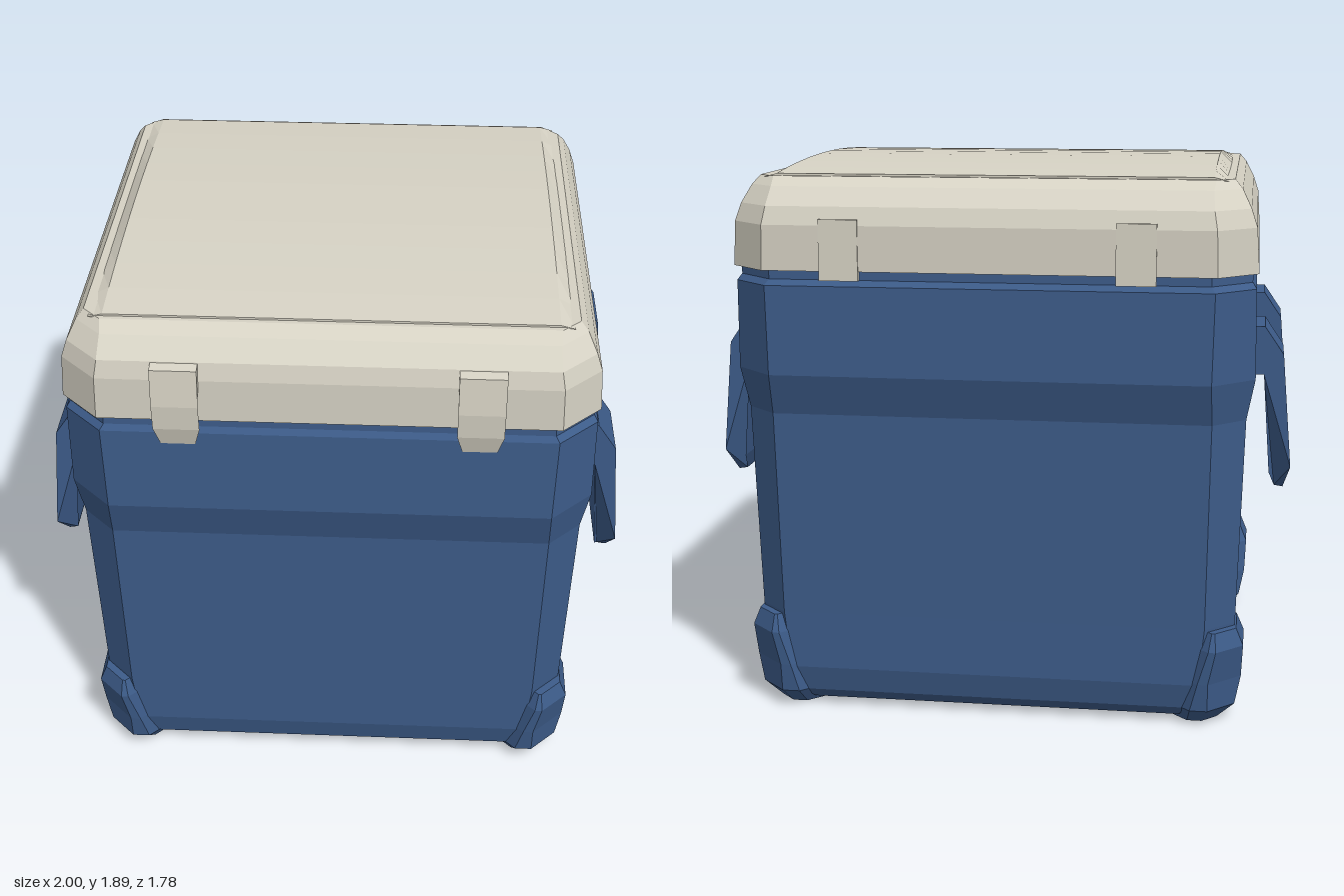
import * as THREE from 'three';

// Skin chamfered rectangles [y, x0, x1, z0, z1, chamfer] from bottom to top, with end caps
function loft(rings) {
  const loops = rings.map(([y, x0, x1, z0, z1, c]) => [
    [x0 + c, y, z1], [x1 - c, y, z1], [x1, y, z1 - c], [x1, y, z0 + c],
    [x1 - c, y, z0], [x0 + c, y, z0], [x0, y, z0 + c], [x0, y, z1 - c],
  ]);
  const pos = [];
  const tri = (a, b, c) => pos.push(...a, ...b, ...c);
  for (let k = 0; k < loops.length - 1; k++) {
    const a = loops[k], b = loops[k + 1];
    for (let i = 0; i < 8; i++) {
      const j = (i + 1) % 8;
      tri(a[i], a[j], b[j]);
      tri(a[i], b[j], b[i]);
    }
  }
  const bottom = loops[0], top = loops[loops.length - 1];
  for (let i = 1; i < 7; i++) {
    tri(bottom[0], bottom[i + 1], bottom[i]);
    tri(top[0], top[i], top[i + 1]);
  }
  const g = new THREE.BufferGeometry();
  g.setAttribute('position', new THREE.Float32BufferAttribute(pos, 3));
  g.computeVertexNormals();
  return g;
}

// Extrude a closed profile along z, centred on z = 0
function extrude(points, depth) {
  const shape = new THREE.Shape(points.map(([x, y]) => new THREE.Vector2(x, y)));
  return new THREE.ExtrudeGeometry(shape, { depth, bevelEnabled: false }).translate(0, 0, -depth / 2);
}

// Move every vertex by a rule and refresh the faceted normals
function reshape(source, rule) {
  const g = source.index ? source.toNonIndexed() : source;
  const p = g.attributes.position, v = new THREE.Vector3();
  for (let i = 0; i < p.count; i++) {
    rule(v.fromBufferAttribute(p, i));
    p.setXYZ(i, v.x, v.y, v.z);
  }
  g.computeVertexNormals();
  return g;
}

export function createModel() {
  const model = new THREE.Group();
  const blue = new THREE.MeshStandardMaterial({ color: 0x3d5c8a });
  blue.name = 'blue plastic';
  const cream = new THREE.MeshStandardMaterial({ color: 0xd6d2c4 });
  cream.name = 'cream plastic';
  const add = (name, geometry, material, parent = model) => {
    const mesh = new THREE.Mesh(geometry, material);
    mesh.name = name;
    parent.add(mesh);
    return mesh;
  };

  // Tapered tub with a wider band under the lid
  add('tub', loft([
    [0.02, -0.74, 0.74, -0.73, 0.70, 0.10],
    [0.06, -0.79, 0.79, -0.77, 0.74, 0.11],
    [0.15, -0.815, 0.815, -0.795, 0.765, 0.11],
    [0.35, -0.825, 0.825, -0.80, 0.775, 0.10],
    [1.06, -0.845, 0.845, -0.83, 0.81, 0.11],
    [1.20, -0.872, 0.872, -0.88, 0.855, 0.14],
    [1.50, -0.868, 0.868, -0.88, 0.852, 0.13],
    [1.52, -0.855, 0.855, -0.865, 0.84, 0.13],
    [1.58, -0.855, 0.855, -0.865, 0.84, 0.13],
  ]), blue);

  // Lid with rounded shoulders
  add('lid', loft([
    [1.55, -0.875, 0.875, -0.885, 0.852, 0.13],
    [1.70, -0.865, 0.865, -0.888, 0.852, 0.125],
    [1.76, -0.845, 0.845, -0.868, 0.838, 0.115],
    [1.82, -0.815, 0.815, -0.81, 0.78, 0.09],
    [1.85, -0.79, 0.79, -0.76, 0.735, 0.06],
  ]), cream);

  // Gently arched top panel, narrower at its crest
  add('lidCrown', reshape(new THREE.BoxGeometry(1.54, 0.02, 1.46, 1, 1, 10), (v) => {
    const top = v.y > 0;
    if (top) v.x *= 0.94;
    v.y = top ? 1.857 + 0.033 * (1 - (v.z / 0.73) ** 2) : 1.845;
    v.z -= 0.012;
  }), cream);

  // Four corner feet
  const footRings = [
    [0.00, 0.62, 0.77, 0.46, 0.72, 0.05],
    [0.06, 0.59, 0.83, 0.43, 0.785, 0.09],
    [0.16, 0.595, 0.85, 0.42, 0.80, 0.11],
    [0.28, 0.65, 0.855, 0.46, 0.812, 0.09],
    [0.34, 0.68, 0.83, 0.49, 0.79, 0.07],
  ];
  for (const sx of [1, -1]) {
    for (const sz of [1, -1]) {
      const rings = footRings.map(([y, a, b, c, d, e]) => [
        y, Math.min(sx * a, sx * b), Math.max(sx * a, sx * b),
        Math.min(sz * c, sz * d) - 0.012, Math.max(sz * c, sz * d) - 0.012, e,
      ]);
      add(`${sz > 0 ? 'front' : 'back'}${sx > 0 ? 'Left' : 'Right'}Foot`, loft(rings), blue);
    }
  }

  // Drop handles: two bent arms joined by a grip bar
  const arm = [[0.85, 1.18], [0.90, 1.18], [0.925, 0.84], [0.945, 0.775], [0.975, 0.77], [0.998, 0.86],
    [0.965, 1.25], [0.90, 1.345], [0.85, 1.345]];
  const bar = [[0.915, 0.98], [0.925, 0.84], [0.945, 0.775], [0.975, 0.77], [0.998, 0.86], [0.988, 0.98]];
  for (const side of [1, -1]) {
    const handle = new THREE.Group();
    handle.name = side > 0 ? 'leftHandle' : 'rightHandle';
    for (const s of [1, -1]) {
      const armGeometry = reshape(extrude(arm, 0.23), (v) => {
        // Cut the lower outer corner at a slant
        if (v.z * s > 0 && v.y < 0.8) v.z -= s * 0.085;
        v.z += s * 0.415;
      });
      add('handleArm', armGeometry, blue, handle);
    }
    add('handleGrip', extrude(bar, 0.62), blue, handle);
    handle.position.z = -0.012;
    if (side < 0) {
      handle.rotation.y = Math.PI;
    }
    model.add(handle);
  }

  // Front latches hanging over the seam, and flush hinges behind
  const latch = [[-0.82, 1.46], [-0.855, 1.46], [-0.877, 1.53], [-0.885, 1.62], [-0.875, 1.75], [-0.82, 1.76]];
  for (const x of [-0.485, 0.485]) {
    const geometry = reshape(extrude(latch, 0.15).rotateY(Math.PI / 2), (v) => {
      if (v.y < 1.5) v.x *= 0.75;
      v.x += x;
    });
    add('latch', geometry, cream);
    add('hinge', new THREE.BoxGeometry(0.13, 0.2, 0.02).translate(x, 1.62, -0.881), cream);
  }
  return model;
}
